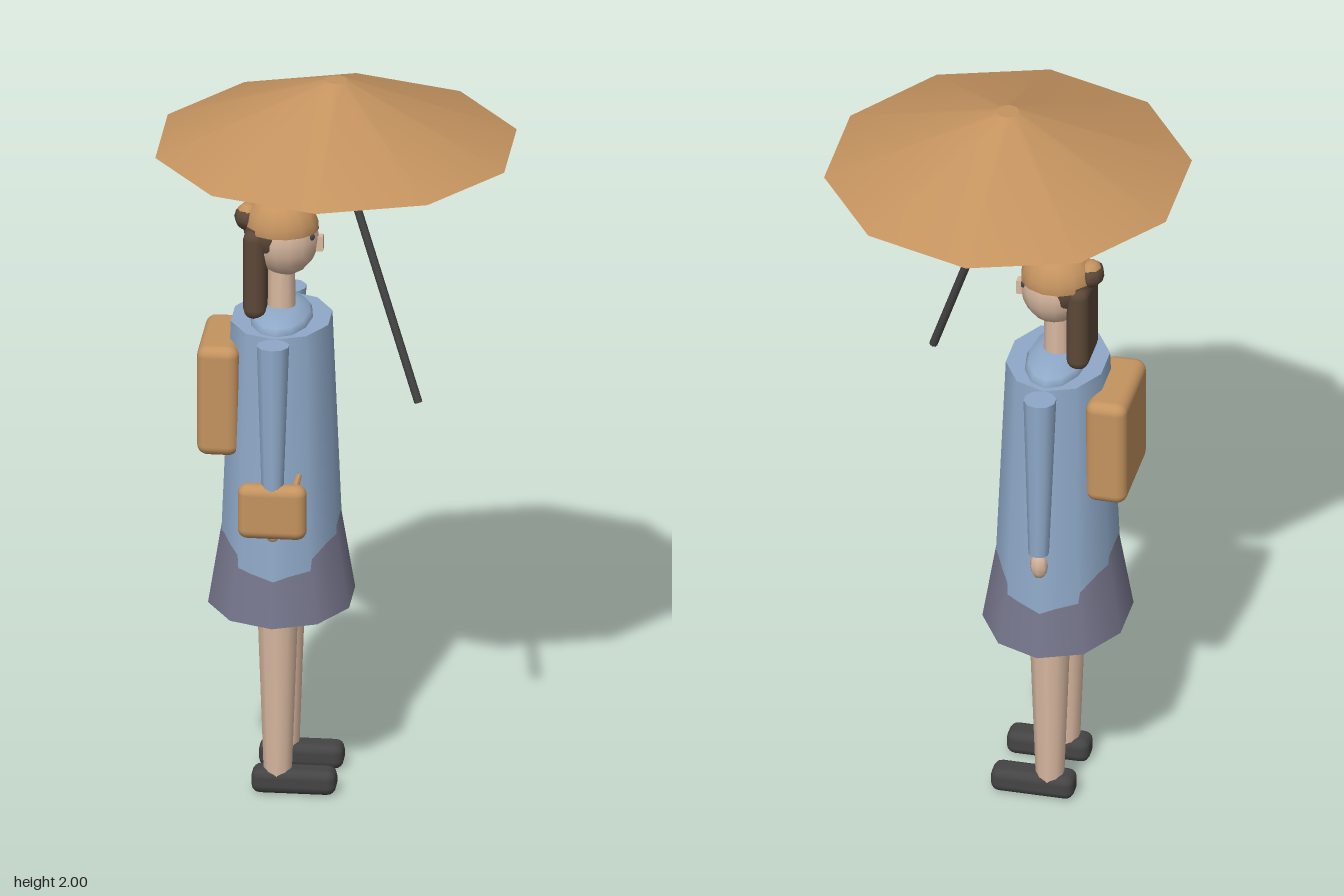
import * as THREE from 'three';
import { RoundedBoxGeometry } from 'three/addons/geometries/RoundedBoxGeometry.js';

const mat = (color) => new THREE.MeshStandardMaterial({ color });
const tan = mat(0xc4935f), coatBlue = mat(0x8fa9c8), skirtGrey = mat(0x74748a);
const skin = mat(0xd8b8a0), black = mat(0x444444), darkHair = mat(0x5c4838);

function add(parent, name, geometry, material, x = 0, y = 0, z = 0) {
  const mesh = new THREE.Mesh(geometry, material);
  mesh.name = name;
  mesh.position.set(x, y, z);
  parent.add(mesh);
  return mesh;
}

// Elliptical frustum between two heights; radii given as [x, z]
function frustum(y0, [x0, z0], y1, [x1, z1], sides) {
  const g = new THREE.CylinderGeometry(z1, z0, y1 - y0, sides, 1);
  const p = g.attributes.position;
  for (let i = 0; i < p.count; i++) {
    p.setX(i, p.getX(i) * (p.getY(i) > 0 ? x1 / z1 : x0 / z0));
  }
  g.computeVertexNormals();
  const ref = new THREE.CylinderGeometry(z1, z0, y1 - y0, sides, 1);
  g.setAttribute('normal', ref.attributes.normal);
  return g.translate(0, (y0 + y1) / 2, 0);
}

// Ellipsoid, optionally only its upper part
const ellipsoid = (rx, ry, rz, w = 14, h = 10, theta = Math.PI) =>
  new THREE.SphereGeometry(1, w, h, 0, Math.PI * 2, 0, theta).scale(rx, ry, rz);

// Round bar between two points
function bar(parent, name, a, b, rA, rB, sides, material) {
  const from = new THREE.Vector3(...a), to = new THREE.Vector3(...b);
  const dir = to.clone().sub(from);
  const mesh = add(parent, name, new THREE.CylinderGeometry(rB, rA, dir.length(), sides), material);
  mesh.position.copy(from).add(to).multiplyScalar(0.5);
  mesh.quaternion.setFromUnitVectors(new THREE.Vector3(0, 1, 0), dir.normalize());
}

export function createModel() {
  const model = new THREE.Group();
  model.name = 'figureWithUmbrella';

  // Umbrella
  add(model, 'umbrellaCanopy', new THREE.CylinderGeometry(0.03, 0.48, 0.18, 10), tan, 0, 1.91, 0);
  bar(model, 'umbrellaPole', [0.23, 1.155, 0.13], [0, 1.83, 0], 0.011, 0.011, 8, black);

  // The figure looks along +x
  const figure = new THREE.Group();
  figure.name = 'figure';
  figure.position.set(-0.15, 0, -0.07);
  model.add(figure);

  // Clothes
  add(figure, 'coat', frustum(0.6, [0.163, 0.215], 1.3, [0.134, 0.165], 10), coatBlue);
  add(figure, 'skirt', frustum(0.515, [0.194, 0.24], 0.8, [0.147, 0.175], 10), skirtGrey);
  add(figure, 'collar', ellipsoid(0.085, 0.042, 0.155, 12, 6), coatBlue, 0, 1.295, 0);

  // Limbs, mirrored
  for (const s of [1, -1]) {
    bar(figure, 'arm', [0, 0.83, s * 0.218], [0, 1.3, s * 0.205], 0.027, 0.043, 10, coatBlue);
    add(figure, 'hand', ellipsoid(0.024, 0.04, 0.02, 8, 6), skin, 0, 0.79, s * 0.215);
    add(figure, 'leg', frustum(0.04, [0.037, 0.036], 0.56, [0.056, 0.05], 10), skin, 0, 0, s * 0.09);
    add(figure, 'shoe', new RoundedBoxGeometry(0.222, 0.068, 0.076, 2, 0.024), black, 0.043, 0.034, s * 0.09);
    add(figure, 'eye', ellipsoid(0.008, 0.01, 0.013, 8, 6), black, 0.083, 1.54, s * 0.035);
  }

  // Head
  add(figure, 'neck', new THREE.CylinderGeometry(0.035, 0.038, 0.17, 10), skin, 0, 1.38, 0);
  add(figure, 'head', ellipsoid(0.088, 0.105, 0.083), skin, 0.01, 1.525, 0);
  add(figure, 'nose', new THREE.BoxGeometry(0.022, 0.04, 0.024), skin, 0.098, 1.51, 0);

  // Hair
  const cap = add(figure, 'hairCap', ellipsoid(0.098, 0.092, 0.089, 14, 6, Math.PI * 0.52), tan, 0, 1.554, 0);
  cap.material = tan.clone();
  cap.material.side = THREE.DoubleSide;
  add(figure, 'backOfHair', ellipsoid(0.07, 0.08, 0.08, 12, 8), darkHair, -0.03, 1.54, 0);
  add(figure, 'longHair', new RoundedBoxGeometry(0.06, 0.25, 0.155, 2, 0.028), darkHair, -0.065, 1.435, 0);
  add(figure, 'hairBun', ellipsoid(0.034, 0.034, 0.045, 8, 6), darkHair, -0.09, 1.575, 0);
  add(figure, 'hairBand', ellipsoid(0.03, 0.025, 0.035, 8, 6), tan, -0.088, 1.588, 0);

  // Bags
  add(figure, 'backpack', new RoundedBoxGeometry(0.11, 0.305, 0.26, 3, 0.028), tan, -0.155, 1.098, 0);
  add(figure, 'handBag', new RoundedBoxGeometry(0.18, 0.15, 0.055, 3, 0.026), tan, 0, 0.84, 0.222);
  bar(figure, 'bagStrap', [0.055, 0.89, 0.2], [0.065, 0.925, 0.172], 0.01, 0.008, 6, tan);

  return model;
}
